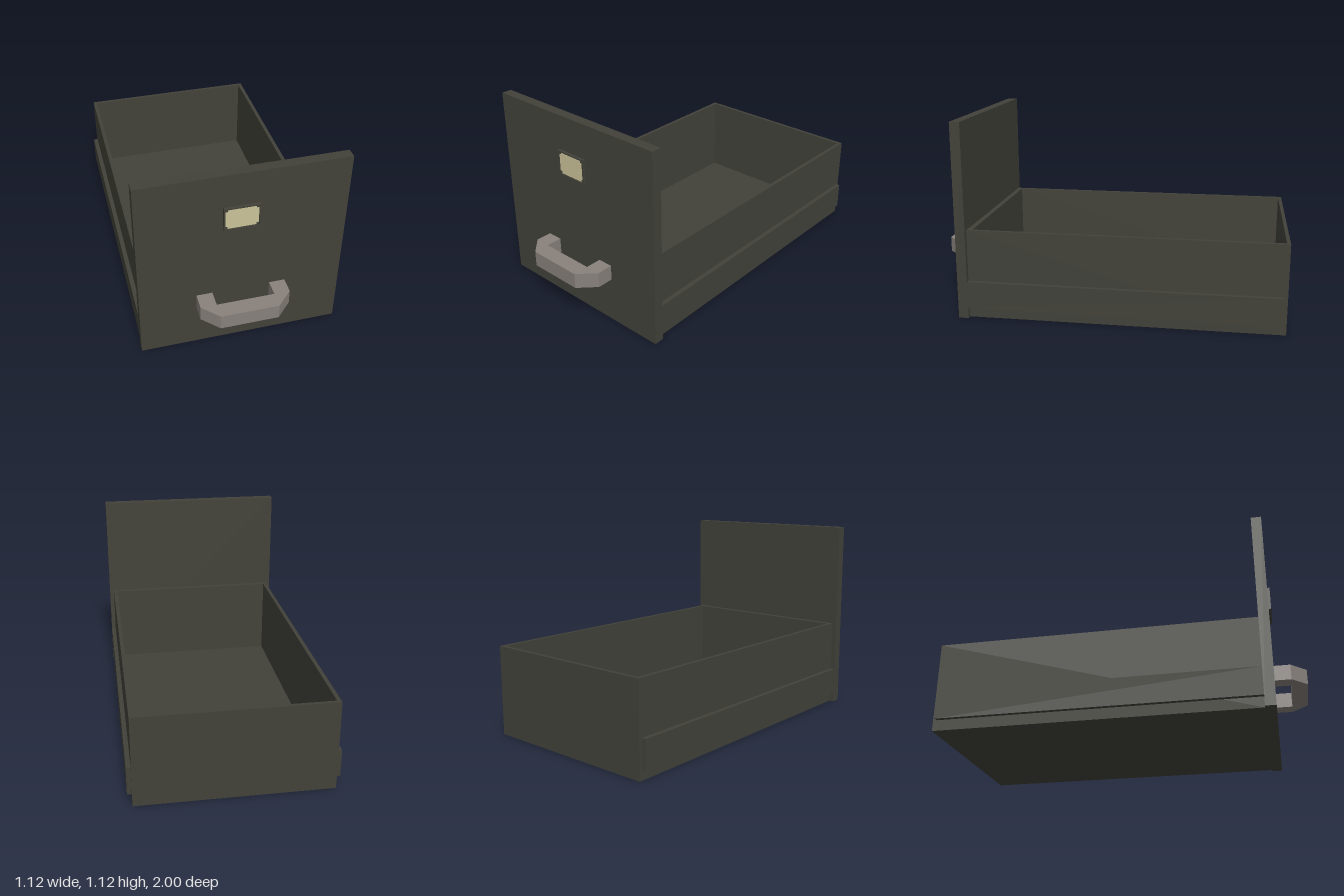
import * as THREE from 'three';

export function createModel() {
  const group = new THREE.Group();
  const steel = new THREE.MeshStandardMaterial({ name: 'dark steel', color: 0x42423a });
  const grip = new THREE.MeshStandardMaterial({ name: 'grey handle', color: 0x88817c });
  const paper = new THREE.MeshStandardMaterial({ name: 'cream paper', color: 0xcbc398 });

  const add = (name, geometry, material) => {
    const mesh = new THREE.Mesh(geometry, material);
    mesh.name = name;
    group.add(mesh);
    return mesh;
  };
  // Box given by its minimum and maximum on each axis
  const box = (name, [x0, x1], [y0, y1], [z0, z1], material = steel) =>
    add(name, new THREE.BoxGeometry(x1 - x0, y1 - y0, z1 - z0), material)
      .position.set((x0 + x1) / 2, (y0 + y1) / 2, (z0 + z1) / 2);
  const points = (list) => list.map(([x, y]) => new THREE.Vector2(x, y));
  const rect = (x0, x1, y0, y1) => points([[x0, y0], [x1, y0], [x1, y1], [x0, y1]]);
  // Plan outline in x and -z, raised from y0 to y1
  const raised = (shape, y0, y1) =>
    new THREE.ExtrudeGeometry(shape, { depth: y1 - y0, bevelEnabled: false })
      .rotateX(-Math.PI / 2).translate(0, y0, 0);

  // Open tray: a ring of walls over a floor
  const walls = new THREE.Shape(rect(-0.532, 0.532, -0.765, 1));
  walls.holes.push(new THREE.Path(rect(-0.51, 0.51, -0.735, 0.98)));
  add('trayWalls', raised(walls, 0, 0.51), steel);
  box('trayFloor', [-0.51, 0.51], [0, 0.03], [-0.98, 0.735]);

  // Slide rails along both sides
  for (const [name, x0, x1] of [['leftRail', 0.532, 0.557], ['rightRail', -0.557, -0.532]]) {
    box(name, [x0, x1], [0.06, 0.215], [-0.98, 0.765]);
  }

  // Tall front panel
  box('frontPanel', [-0.558, 0.558], [0, 1.117], [0.765, 0.822]);

  // Bracket handle with chamfered corners
  const handle = new THREE.Shape(points([
    [-0.248, -0.822], [-0.248, -0.912], [-0.16, -1], [0.157, -1], [0.244, -0.912], [0.244, -0.822],
    [0.157, -0.822], [0.157, -0.912], [-0.16, -0.912], [-0.16, -0.822],
  ]));
  add('handle', raised(handle, 0.263, 0.35), grip);

  // Label holder: slim frame, corner tabs and a paper card
  const [lx0, lx1, ly0, ly1] = [-0.109, 0.085, 0.78, 0.922];
  const rim = new THREE.Shape(rect(lx0, lx1, ly0, ly1));
  rim.holes.push(new THREE.Path(rect(lx0 + 0.008, lx1 - 0.008, ly0 + 0.008, ly1 - 0.008)));
  add('labelFrame', new THREE.ExtrudeGeometry(rim, { depth: 0.015, bevelEnabled: false })
    .translate(0, 0, 0.822), steel);
  for (const x of [lx0 + 0.008, lx1 - 0.021]) {
    for (const y of [ly0 + 0.008, ly1 - 0.021]) {
      box('labelCornerTab', [x, x + 0.013], [y, y + 0.013], [0.822, 0.834]);
    }
  }
  box('labelCard', [lx0 + 0.008, lx1 - 0.008], [ly0 + 0.008, ly1 - 0.008], [0.822, 0.829], paper);

  return group;
}
